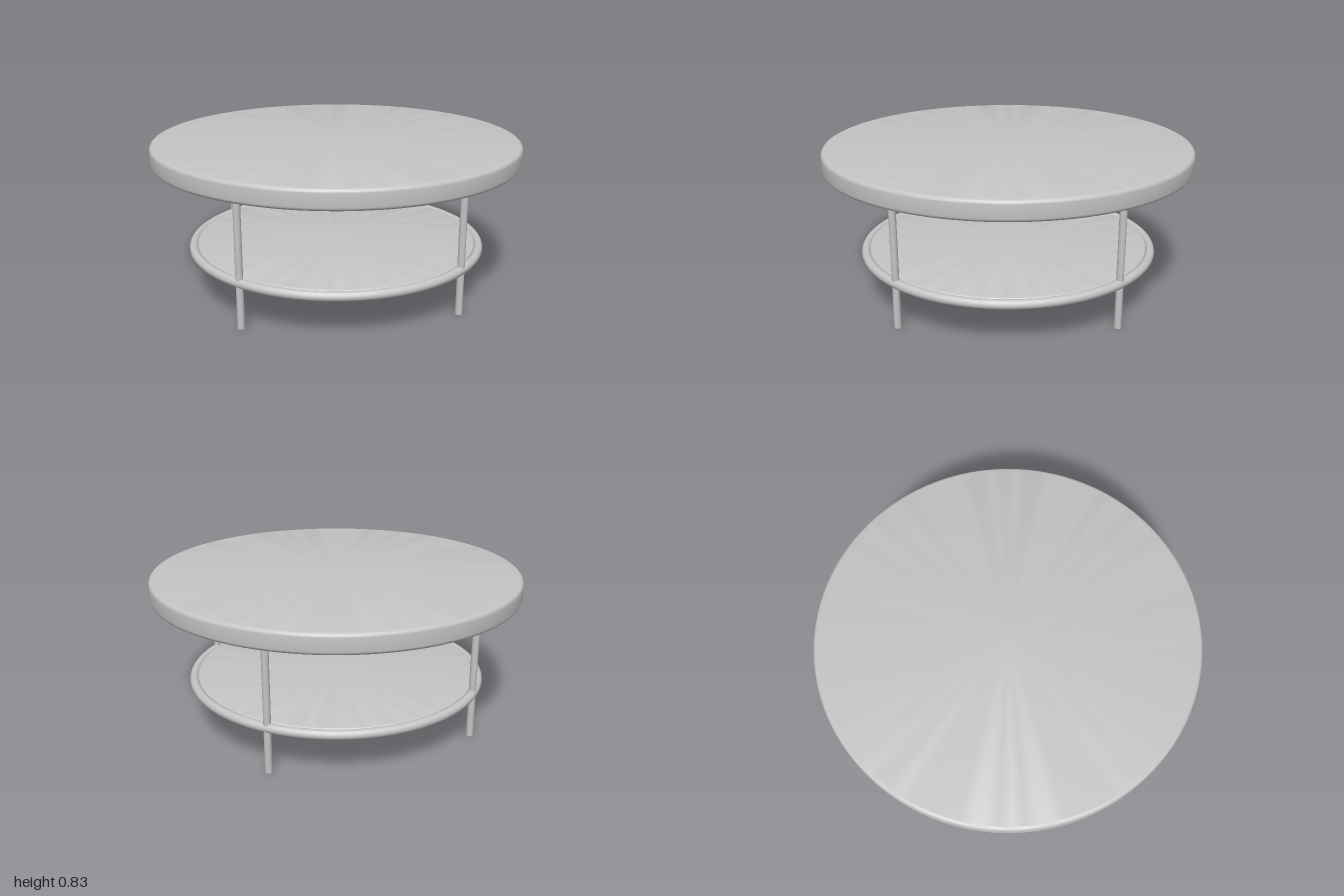
import * as THREE from 'three';
import { toCreasedNormals } from 'three/addons/utils/BufferGeometryUtils.js';

const grey = new THREE.MeshStandardMaterial({ color: 0xc4c4c4 });
grey.name = 'light grey';

// Solid disc with softly rounded rims
function roundedDisc(radius, bottom, top, bevel) {
  const points = [new THREE.Vector2(0, bottom)];
  const steps = 5;
  for (const [cy, start] of [[bottom + bevel, -Math.PI / 2], [top - bevel, 0]]) {
    for (let i = 0; i <= steps; i++) {
      const a = start + (i / steps) * Math.PI / 2;
      points.push(new THREE.Vector2(radius - bevel + bevel * Math.cos(a), cy + bevel * Math.sin(a)));
    }
  }
  points.push(new THREE.Vector2(0, top));
  return toCreasedNormals(new THREE.LatheGeometry(points, 96), 0.6);
}

export function createModel() {
  const model = new THREE.Group();
  model.name = 'roundTable';

  const add = (name, geometry, x = 0, y = 0, z = 0) => {
    const mesh = new THREE.Mesh(geometry, grey);
    mesh.name = name;
    mesh.position.set(x, y, z);
    model.add(mesh);
    return mesh;
  };

  // Tabletop and lower shelf
  add('tabletop', roundedDisc(1, 0.73, 0.835, 0.02));
  add('shelf', roundedDisc(0.777, 0.222, 0.266, 0.01));

  // Tubular ring around the shelf
  const ring = new THREE.TorusGeometry(0.797, 0.025, 16, 96).rotateX(Math.PI / 2);
  add('shelfRing', ring, 0, 0.244, 0);

  // Four round legs, centred on the ring
  const legHeight = 0.735;
  const leg = new THREE.CylinderGeometry(0.019, 0.019, legHeight, 24);
  for (const [side, x] of [['Left', 0.564], ['Right', -0.564]]) {
    for (const [end, z] of [['front', 0.564], ['back', -0.564]]) {
      add(`${end}${side}Leg`, leg, x, legHeight / 2, z);
    }
  }

  return model;
}
